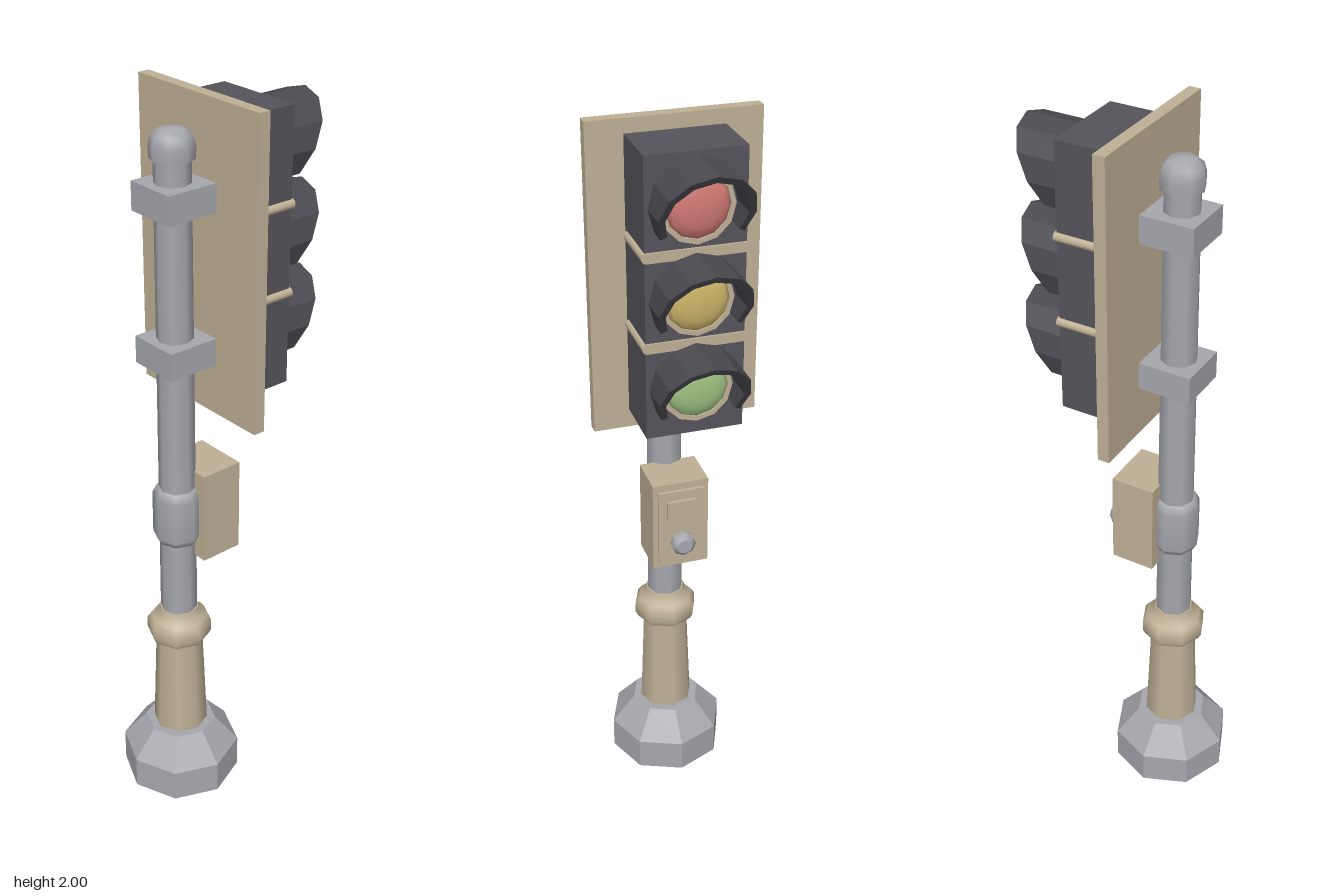
import * as THREE from 'three';

const paint = (name, color) => {
  const m = new THREE.MeshStandardMaterial({ color });
  m.name = name;
  return m;
};

export function createModel() {
  const model = new THREE.Group();
  model.name = 'trafficLight';
  const grey = paint('metal grey', 0xa6a8ae);
  const tan = paint('warm tan', 0xc0b196);
  const dark = paint('housing charcoal', 0x55545b);
  const hoodDark = paint('visor charcoal', 0x4a4a50);
  const lensPaint = [
    paint('lens red', 0xd27a74),
    paint('lens yellow', 0xcfb66a),
    paint('lens green', 0xa0c482),
  ];
  const POST_X = -0.128;

  const add = (name, geometry, material, x = 0, y = 0, z = 0, parent = model) => {
    const mesh = new THREE.Mesh(geometry, material);
    mesh.name = name;
    mesh.position.set(x, y, z);
    parent.add(mesh);
    return mesh;
  };
  // box given by its limits in x and y and its half width in z
  const box = (name, material, x0, x1, y0, y1, halfZ) =>
    add(name, new THREE.BoxGeometry(x1 - x0, y1 - y0, halfZ * 2), material, (x0 + x1) / 2, (y0 + y1) / 2);
  // turned part from [radius, height] pairs; a repeated pair makes a sharp edge
  const lathe = (points, sides) =>
    new THREE.LatheGeometry(points.map(([r, h]) => new THREE.Vector2(r, h)), sides);
  const latheX = (points, sides) => lathe(points, sides).rotateZ(-Math.PI / 2);
  const flat = (geometry) => {
    const g = geometry.index ? geometry.toNonIndexed() : geometry;
    g.computeVertexNormals();
    return g;
  };

  // faceted foot
  add('base', flat(lathe([[0, 0], [0.167, 0], [0.167, 0.095], [0.1, 0.175], [0, 0.175]], 8)), grey, POST_X);

  // sleeve with a bulging collar
  add('sleeve', lathe([
    [0.077, 0.17], [0.065, 0.48], [0.065, 0.48], [0.083, 0.48], [0.083, 0.48], [0.09, 0.495],
    [0.09, 0.525], [0.078, 0.543], [0.062, 0.552], [0.055, 0.575], [0.055, 0.575], [0.045, 0.575],
  ], 8), tan, POST_X);

  // post, rounded cap and clamp ring
  add('post', new THREE.CylinderGeometry(0.046, 0.051, 1.35, 8), grey, POST_X, 1.205);
  add('postCap', lathe([
    [0.04, 1.858], [0.056, 1.858], [0.056, 1.858], [0.057, 1.89], [0.05, 1.915], [0.033, 1.929], [0, 1.934],
  ], 8), grey, POST_X);
  add('clampRing', lathe([
    [0.045, 0.8], [0.056, 0.8], [0.067, 0.82], [0.067, 0.94], [0.056, 0.963], [0.045, 0.963],
  ], 8), grey, POST_X);

  // brackets that carry the signal head
  for (const y of [1.36, 1.763]) box('bracket', grey, -0.197, -0.05, y - 0.037, y + 0.037, 0.072);

  // signal head
  box('backPlate', tan, -0.054, -0.022, 1.185, 2, 0.22);
  box('housing', dark, -0.022, 0.139, 1.236, 1.963, 0.126);

  // round-ended bands between the lamps
  const band = new THREE.Shape();
  band.absarc(0.122, 0, 0.013, -Math.PI / 2, Math.PI / 2, false);
  band.absarc(-0.122, 0, 0.013, Math.PI / 2, Math.PI * 1.5, false);
  const bandGeometry = new THREE.ExtrudeGeometry(band, { depth: 0.152, bevelEnabled: false, curveSegments: 6 })
    .rotateY(Math.PI / 2);
  for (const y of [1.718, 1.485]) add('band', bandGeometry, tan, -0.008, y);

  // lamps: rim, domed lens and slanted visor
  const rim = latheX([
    [0.092, 0.135], [0.092, 0.156], [0.092, 0.156], [0.08, 0.156], [0.08, 0.156], [0.08, 0.138],
  ], 12);
  const lens = latheX([
    [0.08, 0.138], [0.079, 0.152], [0.07, 0.163], [0.05, 0.171], [0.025, 0.175], [0, 0.176],
  ], 12);
  const visor = visorGeometry();
  [1.836, 1.602, 1.368].forEach((y, i) => {
    const lamp = new THREE.Group();
    lamp.name = ['topLamp', 'middleLamp', 'bottomLamp'][i];
    lamp.position.y = y;
    model.add(lamp);
    add('rim', rim, tan, 0, 0, 0, lamp);
    add('lens', lens, lensPaint[i], 0, 0, 0, lamp);
    add('visor', visor, hoodDark, 0, 0, 0, lamp);
  });

  // push-button box
  box('buttonBox', tan, -0.1, 0.022, 0.75, 1.013, 0.078);
  box('buttonBoxDoor', tan, 0.02, 0.031, 0.772, 0.992, 0.064);
  box('buttonBoxSign', tan, 0.03, 0.04, 0.913, 0.965, 0.041);
  add('button', latheX([
    [0.022, 0.03], [0.022, 0.036], [0.034, 0.036], [0.034, 0.036], [0.034, 0.054],
    [0.022, 0.065], [0.022, 0.065], [0, 0.065],
  ], 8), grey, 0, 0.834);

  return model;
}

// thick arched hood whose front is cut by a slanted plane
function visorGeometry() {
  const outer = 0.117, inner = 0.1, back = 0.137, steps = 8;
  const section = (i) => {
    const a = THREE.MathUtils.degToRad(-30 + 30 * i);
    const at = (r, front) => {
      const y = r * Math.sin(a);
      return [front ? 0.222 + 0.607 * y : back, y, r * Math.cos(a)];
    };
    return [at(outer, false), at(outer, true), at(inner, true), at(inner, false)];
  };
  const positions = [];
  const quad = (a, b, c, d) => positions.push(...a, ...b, ...c, ...a, ...c, ...d);
  for (let i = 0; i < steps; i++) {
    const s = section(i), t = section(i + 1);
    for (let k = 0; k < 4; k++) {
      const n = (k + 1) % 4;
      quad(s[k], s[n], t[n], t[k]);
    }
  }
  quad(...section(0).reverse());
  quad(...section(steps));
  const g = new THREE.BufferGeometry();
  g.setAttribute('position', new THREE.Float32BufferAttribute(positions, 3));
  g.computeVertexNormals();
  return g;
}
